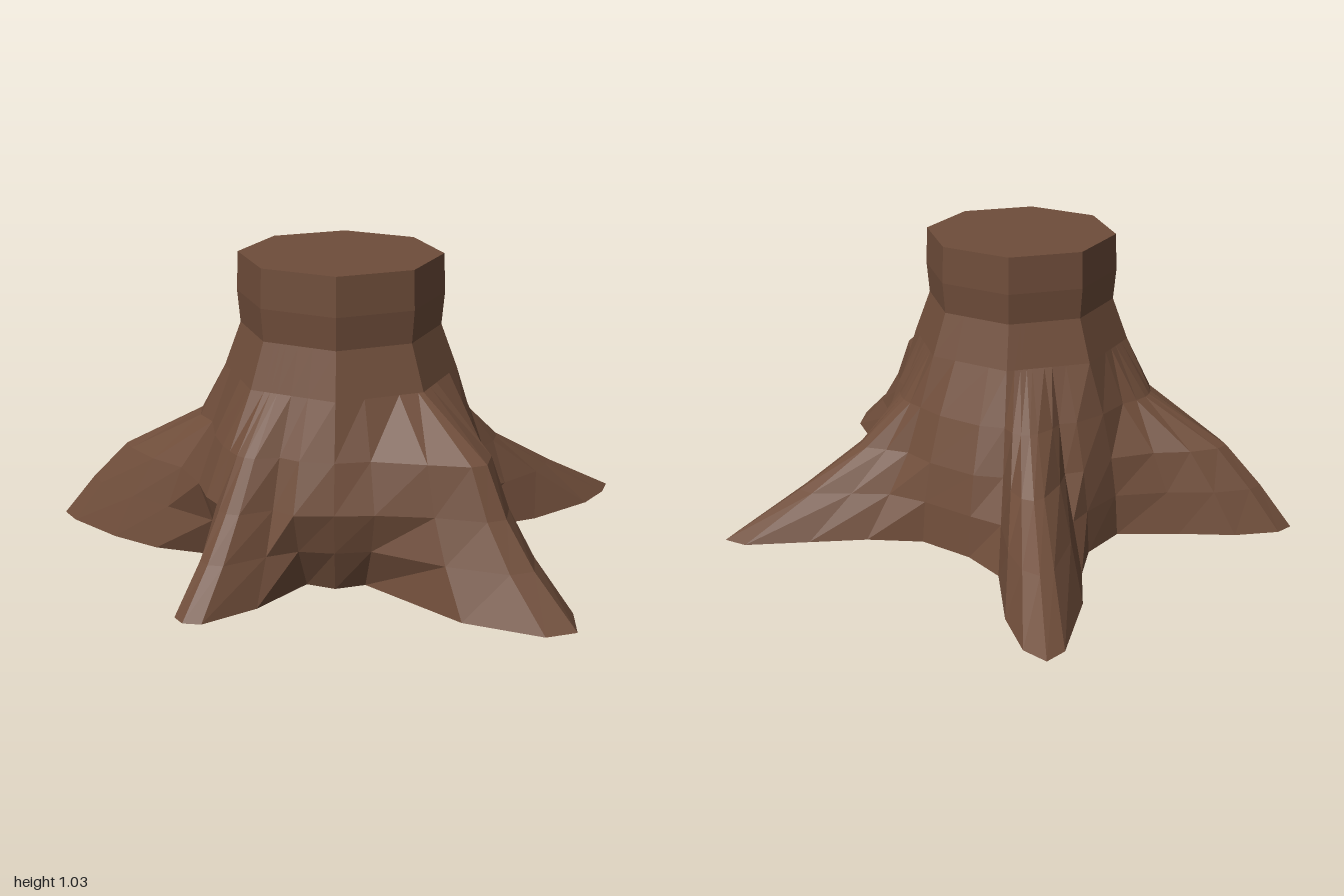
import * as THREE from 'three';

const CX = 0.01, CZ = 0.24;

// Point on the eight-sided trunk outline; u counts corners (0..8) from +x towards +z
function octagon(u, r) {
  const k = Math.floor(u), t = u - k;
  const a = k * Math.PI / 4, b = (k + 1) * Math.PI / 4;
  return [
    CX + r * (Math.cos(a) * (1 - t) + Math.cos(b) * t),
    CZ + r * (Math.sin(a) * (1 - t) + Math.sin(b) * t),
  ];
}

// Heights of the flared rings, and [height, radius] of the trunk rings
const FLARE = [0.01, 0.16, 0.30, 0.46];
const TRUNK = [[0.64, 0.39], [0.79, 0.335], [0.90, 0.345], [1.03, 0.34]];

// A section of the foot: how far it draws in to the trunk at each flare height, and
// its widest outline as [x, z], with a third number where it meets a trunk corner.
// The flanks of a root stay a little fuller than its crest.
function section(draw, outline) {
  const radius = ([x, z]) => Math.hypot(x - CX, z - CZ);
  const longest = Math.max(...outline.map(radius));
  return outline.map((p) => {
    const [x, z, corner] = p;
    const turn = Math.atan2(z - CZ, x - CX) / (Math.PI / 4);
    const fullness = 0.8 + 0.2 * radius(p) / longest;
    return { x, z, u: corner ?? (turn + 8) % 8, draw: draw.map((d) => d * fullness) };
  });
}

// Hollows between roots: the front and side ones are undercut at the ground
const undercut = [0.85, 0.35, 0.08, 0.45];
const hollow = [0, 0.08, 0.25, 0.55];

const columns = [
  ...section(undercut, [[0.5, 0.24, 0], [0.48, 0.33]]),
  // front left root
  ...section([0, 0.27, 0.45, 0.58], [
    [0.65, 0.58], [0.76, 0.79], [0.76, 0.92, 1], [0.66, 0.955], [0.41, 0.87],
  ]),
  ...section(undercut, [[0.14, 0.735], [0.01, 0.745, 2], [-0.12, 0.75]]),
  // front right root
  ...section([0, 0.28, 0.49, 0.7], [
    [-0.23, 0.8], [-0.39, 0.915], [-0.45, 0.91], [-0.48, 0.87], [-0.46, 0.77, 3],
  ]),
  ...section(undercut, [[-0.42, 0.6], [-0.46, 0.48]]),
  // right root
  ...section([0, 0.18, 0.38, 0.82], [
    [-0.62, 0.35], [-0.78, 0.26, 4], [-0.95, 0.12], [-1, 0.05],
    [-0.955, 0], [-0.8, -0.045], [-0.6, -0.06],
  ]),
  ...section(hollow, [[-0.38, -0.09, 5], [-0.29, -0.24]]),
  // back root
  ...section([0, 0.31, 0.61, 0.82], [
    [-0.28, -0.4], [-0.3, -0.6], [-0.27, -0.9], [-0.22, -0.965],
    [-0.14, -0.91], [-0.06, -0.73], [0, -0.45, 6],
  ]),
  ...section(hollow, [[0.12, -0.33], [0.3, -0.235]]),
  // left root
  ...section([0, 0.36, 0.66, 0.87], [
    [0.5, -0.245, 7], [0.7, -0.29], [0.92, -0.34], [1, -0.31],
    [0.975, -0.23], [0.9, -0.12], [0.7, 0.04],
  ]),
  ...section(undercut, [[0.52, 0.15]]),
];

// Flat-shaded skin over a stack of rings, with optional end caps
function skin(rings, capBottom, capTop) {
  const pos = [];
  const tri = (...pts) => pts.forEach((p) => pos.push(...p));
  const n = rings[0].length;
  const low = rings[0], high = rings[rings.length - 1];
  for (let i = 0; i < n; i++) {
    const j = (i + 1) % n;
    for (let k = 0; k < rings.length - 1; k++) {
      const a = rings[k][i], b = rings[k][j], c = rings[k + 1][j], d = rings[k + 1][i];
      tri(a, d, b);
      tri(b, d, c);
    }
    if (capBottom) tri([CX, 0, CZ], low[i], low[j]);
    if (capTop) tri([CX, high[0][1], CZ], high[j], high[i]);
  }
  const geo = new THREE.BufferGeometry();
  geo.setAttribute('position', new THREE.Float32BufferAttribute(pos, 3));
  geo.computeVertexNormals();
  return geo;
}

export function createModel() {
  const group = new THREE.Group();
  group.name = 'treeStump';
  const bark = new THREE.MeshStandardMaterial({ color: 0x6f4d3a });
  bark.name = 'barkBrown';

  const trunkRings = TRUNK.map(([y, r]) => columns.map((c) => {
    const [x, z] = octagon(c.u, r);
    return [x, y, z];
  }));

  // Each flare ring blends the outline towards the lowest trunk ring
  const flareRings = FLARE.map((y, k) => columns.map((c, i) => {
    const [tx, , tz] = trunkRings[0][i];
    const f = c.draw[k];
    return [c.x + (tx - c.x) * f, y, c.z + (tz - c.z) * f];
  }));

  const roots = new THREE.Mesh(skin([...flareRings, trunkRings[0]], true, false), bark);
  roots.name = 'roots';
  const trunk = new THREE.Mesh(skin(trunkRings, false, true), bark);
  trunk.name = 'trunk';
  group.add(roots, trunk);
  return group;
}
